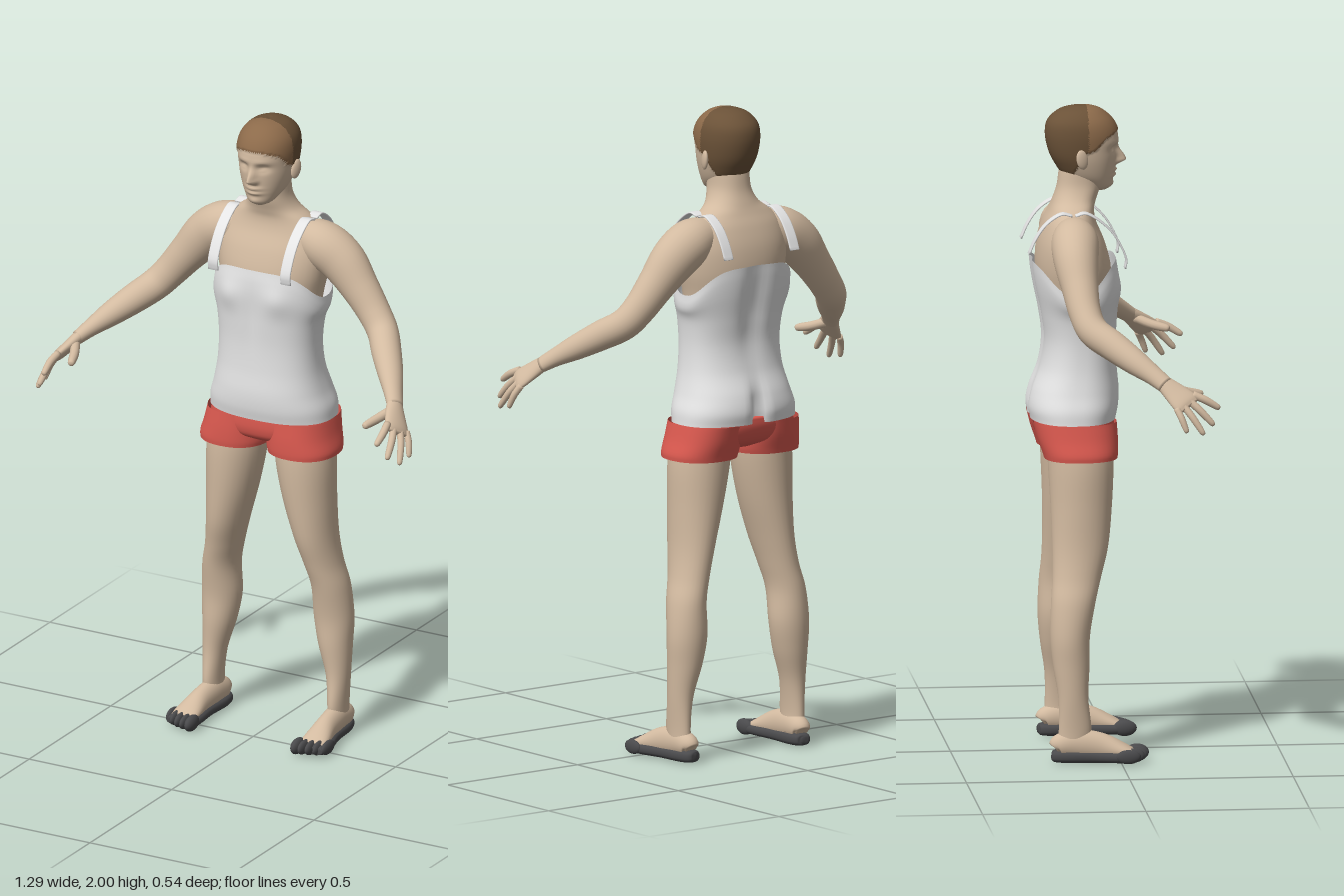
import * as THREE from 'three';

const V = (x, y, z) => new THREE.Vector3(x, y, z);
const bump = (d, s) => Math.exp(-(d * d) / (s * s));
const mat = (name, color, side = THREE.FrontSide) => {
  const m = new THREE.MeshStandardMaterial({ color, side });
  m.name = name;
  return m;
};

// Skin a smooth surface over rows of [x, y, z, halfWidth, halfDepth].
// Upright lofts keep horizontal rings and must rise; others follow the path.
function loft(rows, { ref = [0, 0, 1], upright = false, n = 28, m = 32, e = 2, caps = true, tweak } = {}) {
  const path = new THREE.CatmullRomCurve3(rows.map(r => V(r[0], r[1], r[2])), false, 'catmullrom');
  const size = new THREE.CatmullRomCurve3(rows.map(r => V(r[3], r[4], 0)), false, 'catmullrom');
  const pos = [], idx = [];
  const pw = c => Math.sign(c) * Math.abs(c) ** (2 / e);
  for (let i = 0; i <= m; i++) {
    const c = path.getPoint(i / m), s = size.getPoint(i / m);
    const t = upright ? V(0, 1, 0) : path.getTangent(i / m);
    const v = V(...ref);
    v.addScaledVector(t, -v.dot(t)).normalize();
    const u = t.clone().cross(v);
    for (let j = 0; j < n; j++) {
      const a = j / n * Math.PI * 2;
      const p = c.clone()
        .addScaledVector(u, Math.max(s.x, 0.001) * pw(Math.cos(a)))
        .addScaledVector(v, Math.max(s.y, 0.001) * pw(Math.sin(a)));
      if (tweak) tweak(p, a);
      pos.push(p.x, p.y, p.z);
      if (i < m) {
        const q = i * n + j, r = i * n + (j + 1) % n;
        idx.push(q, q + n, r, r, q + n, r + n);
      }
    }
  }
  if (caps) {
    const k = pos.length / 3, last = m * n;
    pos.push(...path.getPoint(0).toArray(), ...path.getPoint(1).toArray());
    for (let j = 0; j < n; j++) {
      const j2 = (j + 1) % n;
      idx.push(k, j, j2, k + 1, last + j2, last + j);
    }
  }
  const g = new THREE.BufferGeometry();
  g.setAttribute('position', new THREE.Float32BufferAttribute(pos, 3));
  g.setIndex(idx);
  g.computeVertexNormals();
  return g;
}

// Centred rings given as [y, front z, back z, half width]
const rings = rows => rows.map(([y, f, b, w]) => [0, y, (f + b) / 2, w, (f - b) / 2]);

// Copy a geometry across x = 0, keeping its faces outward
function mirrored(g) {
  const h = g.clone().scale(-1, 1, 1), a = h.index.array;
  for (let i = 0; i < a.length; i += 3) [a[i], a[i + 1]] = [a[i + 1], a[i]];
  return h;
}

function ellipsoid(x, y, z, rx, ry, rz) {
  return new THREE.SphereGeometry(1, 20, 14).scale(rx, ry, rz).translate(x, y, z);
}

export function createModel() {
  const skin = mat('skin', 0xd2baa0);
  const white = mat('white cloth', 0xe4e4e4, THREE.DoubleSide);
  const red = mat('red cloth', 0xdc5a50, THREE.DoubleSide);
  const dark = mat('dark shoe', 0x4a4a4c);
  const hairFront = mat('light brown hair', 0x8c6a4a);
  const hairBack = mat('brown hair', 0x6b5238);
  const model = new THREE.Group();
  const add = (name, g, m) => {
    const mesh = new THREE.Mesh(g, m);
    mesh.name = name;
    model.add(mesh);
  };
  const pair = (name, g, m) => {
    add('left' + name, g, m);
    add('right' + name, mirrored(g), m);
  };

  // Chest, shoulders and neck
  add('chestAndNeck', loft(rings([
    [1.36, -0.02, -0.21, 0.155], [1.44, -0.012, -0.23, 0.165], [1.51, -0.012, -0.24, 0.178],
    [1.58, -0.03, -0.235, 0.18], [1.64, -0.055, -0.218, 0.16], [1.68, -0.062, -0.2, 0.125],
    [1.71, -0.055, -0.188, 0.086], [1.75, -0.042, -0.175, 0.066], [1.8, -0.04, -0.168, 0.062],
    [1.85, -0.05, -0.16, 0.06]]), { upright: true, n: 40, m: 48, e: 2.2 }), skin);

  // Head with modelled face, hair as coloured areas of the skull
  const hairline = z => {
    const pts = [[-0.14, 1.768], [-0.125, 1.8], [-0.1, 1.855], [-0.06, 1.872], [-0.03, 1.905], [0.02, 1.925]];
    if (z <= pts[0][0]) return pts[0][1];
    for (let i = 1; i < pts.length; i++) {
      const [z0, y0] = pts[i - 1], [z1, y1] = pts[i];
      if (z < z1) return y0 + (y1 - y0) * (z - z0) / (z1 - z0);
    }
    return 1.925;
  };
  const head = loft(rings([
    [1.737, -0.025, -0.06, 0.018], [1.75, -0.01, -0.09, 0.04], [1.78, -0.002, -0.15, 0.062],
    [1.82, 0.004, -0.18, 0.077], [1.86, 0.008, -0.198, 0.085], [1.91, 0.012, -0.207, 0.088],
    [1.95, -0.004, -0.2, 0.08], [1.98, -0.035, -0.17, 0.056], [1.993, -0.065, -0.135, 0.026],
    [1.996, -0.09, -0.11, 0.008]]), {
    upright: true, n: 96, m: 80, e: 2.1, tweak: p => {
      const { x, y } = p;
      if (y > hairline(p.z)) {
        p.x *= 1.05;
        p.z = -0.1 + (p.z + 0.1) * 1.035;
        p.y += 0.003;
      }
      if (p.z < -0.05) return;
      const ax = Math.abs(x);
      p.z += 0.032 * bump(x, 0.012) * bump(y - 1.828, y > 1.828 ? 0.032 : 0.011); // nose
      p.z += 0.008 * bump(ax - 0.012, 0.008) * bump(y - 1.824, 0.009); // nostrils
      p.z -= 0.013 * bump(ax - 0.034, 0.018) * bump(y - 1.868, 0.012); // eye sockets
      p.z += 0.006 * bump(ax - 0.034, 0.012) * bump(y - 1.864, 0.006); // eyelids
      p.z += 0.004 * bump(ax - 0.03, 0.03) * bump(y - 1.888, 0.01); // brow
      p.z += 0.009 * bump(x, 0.024) * (bump(y - 1.799, 0.006) + bump(y - 1.783, 0.006)); // lips
      p.z += 0.006 * bump(x, 0.022) * bump(y - 1.755, 0.012); // chin
    }
  });
  const zones = [[], [], []], hp = head.attributes.position, hi = head.index.array;
  for (let i = 0; i < hi.length; i += 3) {
    const tri = [hi[i], hi[i + 1], hi[i + 2]];
    const y = tri.reduce((s, k) => s + hp.getY(k) / 3, 0), z = tri.reduce((s, k) => s + hp.getZ(k) / 3, 0);
    zones[y < hairline(z) + 0.001 ? 0 : z > -0.085 ? 1 : 2].push(...tri);
  }
  head.setIndex(zones.flat());
  let start = 0;
  zones.forEach((zone, k) => {
    head.addGroup(start, zone.length, k);
    start += zone.length;
  });
  add('headAndHair', head, [skin, hairFront, hairBack]);
  pair('Ear', ellipsoid(0, 0, 0, 0.009, 0.031, 0.019).rotateX(-0.2).rotateY(-0.35).translate(0.09, 1.845, -0.105), skin);

  // Arms
  pair('Arm', loft([
    [0.09, 1.625, -0.135, 0.05, 0.05], [0.165, 1.605, -0.135, 0.072, 0.072], [0.235, 1.56, -0.138, 0.073, 0.068],
    [0.3, 1.487, -0.132, 0.06, 0.056], [0.355, 1.42, -0.122, 0.052, 0.049], [0.398, 1.372, -0.1, 0.049, 0.047],
    [0.442, 1.335, -0.045, 0.046, 0.046], [0.49, 1.295, 0.015, 0.038, 0.04], [0.53, 1.26, 0.068, 0.027, 0.031],
    [0.558, 1.233, 0.105, 0.021, 0.027]], { m: 56 }), skin);

  // Hands
  const across = [-0.45, 0.45, 0.77];
  pair('Palm', loft([
    [0.55, 1.242, 0.095, 0.02, 0.025], [0.573, 1.213, 0.13, 0.018, 0.036],
    [0.595, 1.187, 0.16, 0.015, 0.043], [0.605, 1.176, 0.173, 0.007, 0.036]], { ref: across, m: 16 }), skin);
  const digit = (a, b, r, bend) => {
    const at = (t, k) => {
      const p = V(...a).lerp(V(...b), t);
      return [p.x + bend * Math.sin(t * Math.PI), p.y + bend * Math.sin(t * Math.PI), p.z, r * k, r * k];
    };
    return loft([at(0, 1), at(0.45, 1), at(0.85, 0.85), at(0.97, 0.6), at(1, 0.15)], { ref: across, n: 12, m: 18 });
  };
  const tips = [[0.583, 1.163, 0.267], [0.61, 1.116, 0.247], [0.635, 1.092, 0.214], [0.639, 1.1, 0.162]];
  tips.forEach((tip, i) => {
    const t = i / 3;
    pair('Finger' + (i + 1), digit([0.578 + 0.036 * t, 1.207 - 0.036 * t, 0.185 - 0.052 * t], tip, 0.0118 - 0.0015 * t, 0.004), skin);
  });
  pair('Thumb', digit([0.555, 1.225, 0.12], [0.514, 1.197, 0.222], 0.0145, -0.004), skin);

  // Legs, from ankle to hip
  pair('Leg', loft([
    [0.216, 0.04, -0.15, 0.03, 0.045], [0.219, 0.1, -0.14, 0.027, 0.05], [0.216, 0.2, -0.145, 0.036, 0.046],
    [0.203, 0.3, -0.15, 0.053, 0.056], [0.196, 0.39, -0.153, 0.063, 0.061], [0.191, 0.49, -0.143, 0.058, 0.068],
    [0.172, 0.57, -0.13, 0.057, 0.075], [0.153, 0.66, -0.118, 0.064, 0.086], [0.134, 0.78, -0.113, 0.08, 0.094],
    [0.121, 0.9, -0.113, 0.092, 0.1], [0.112, 1.0, -0.118, 0.09, 0.1]], { upright: true, m: 60 }), skin);

  // Feet and toe shoes
  const up = [0, 1, 0];
  pair('Instep', loft([
    [0.214, 0.045, -0.198, 0.02, 0.02], [0.215, 0.055, -0.185, 0.031, 0.036], [0.217, 0.058, -0.13, 0.033, 0.046],
    [0.221, 0.05, -0.06, 0.034, 0.042], [0.225, 0.038, 0.0, 0.042, 0.026], [0.227, 0.03, 0.04, 0.044, 0.012]],
    { ref: up }), skin);
  pair('Sole', loft([
    [0.211, 0.022, -0.212, 0.008, 0.008], [0.212, 0.022, -0.203, 0.026, 0.018], [0.214, 0.022, -0.16, 0.037, 0.021],
    [0.219, 0.021, -0.08, 0.038, 0.02], [0.225, 0.021, -0.01, 0.05, 0.02], [0.227, 0.021, 0.035, 0.053, 0.019],
    [0.227, 0.02, 0.056, 0.045, 0.012]], { ref: up, e: 2.6 }), dark);
  for (let i = 0; i < 5; i++) {
    const w = i ? 0.0115 : 0.016;
    pair('Toe' + (i + 1), ellipsoid(0.186 + 0.0215 * i, 0.025, 0.052 - 0.003 * i * i * 0.7, w, i ? 0.022 : 0.025, 0.037), dark);
  }

  // Shorts
  add('shortsHips', loft(rings([
    [0.955, -0.05, -0.18, 0.09], [0.975, -0.015, -0.225, 0.17], [1.0, -0.004, -0.245, 0.2],
    [1.03, -0.002, -0.255, 0.2], [1.06, -0.004, -0.255, 0.19]]), { upright: true, n: 40, m: 16, e: 2.4 }), red);
  pair('ShortsLeg', loft([
    [0.118, 0.93, -0.113, 0.11, 0.112], [0.116, 0.95, -0.115, 0.112, 0.116], [0.11, 0.99, -0.122, 0.106, 0.123],
    [0.105, 1.04, -0.13, 0.1, 0.128]], { upright: true, n: 40, m: 12, e: 2.3, caps: false }), red);

  // Sleeveless top: dipping under the arms, shaped over chest, spine and seat
  add('top', loft(rings([
    [1.04, 0.002, -0.262, 0.204], [1.08, 0.01, -0.268, 0.2], [1.13, 0.012, -0.258, 0.184], [1.2, 0.006, -0.232, 0.169],
    [1.28, 0.004, -0.222, 0.164], [1.36, 0.008, -0.232, 0.17], [1.44, 0.012, -0.248, 0.183],
    [1.49, 0.01, -0.256, 0.187], [1.53, 0.004, -0.26, 0.185]]), {
    upright: true, n: 80, m: 56, e: 2.4, caps: false, tweak: (p, a) => {
      const y = p.y;
      if (Math.sin(a) < 0) {
        p.z += 0.03 * bump(p.x, 0.022) * bump(y - 1.08, 0.07); // seat cleft
        p.z += 0.018 * bump(p.x, 0.04) * bump(y - 1.42, 0.16); // spine
      } else {
        p.z += 0.01 * bump(Math.abs(p.x) - 0.085, 0.04) * bump(y - 1.44, 0.045); // chest
        p.z -= 0.006 * bump(p.x, 0.02) * bump(y - 1.4, 0.1);
      }
      p.y -= 0.09 * Math.cos(a) ** 4 * THREE.MathUtils.smoothstep(y, 1.33, 1.53);
    }
  }), white);

  // Shoulder straps, standing slightly off the body
  const strap = pts => loft(pts.map(([z, y]) => [0.127, y, z, 0.003, 0.0175]), { ref: [1, 0, 0], n: 16, m: 20, e: 5 });
  pair('FrontStrap', strap([[0.022, 1.515], [0.024, 1.55], [-0.005, 1.61], [-0.045, 1.655], [-0.095, 1.686], [-0.13, 1.68]]), white);
  pair('BackStrap', strap([[-0.14, 1.68], [-0.175, 1.685], [-0.22, 1.655], [-0.252, 1.61], [-0.272, 1.565]]), white);

  return model;
}
